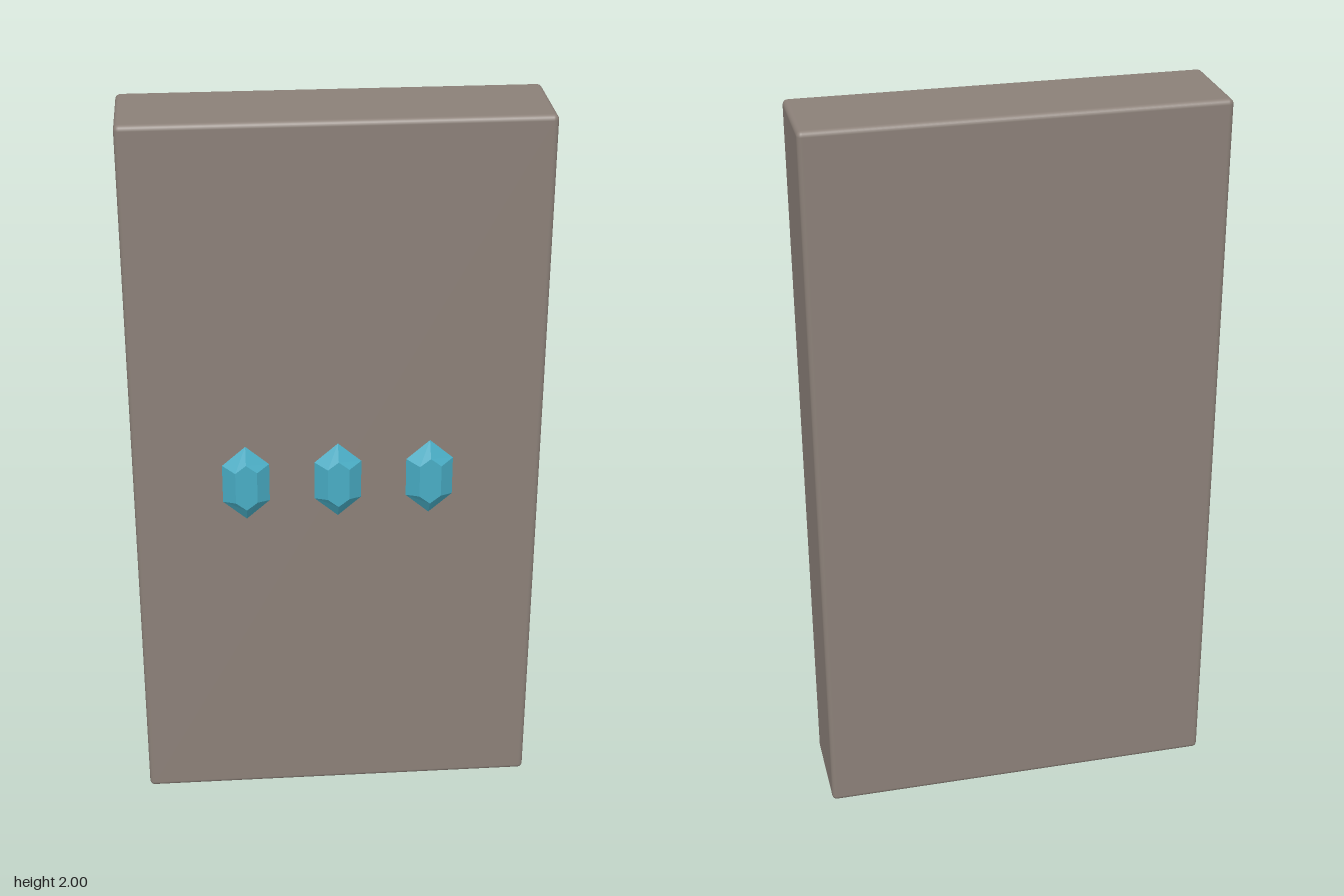
import * as THREE from 'three';
import { RoundedBoxGeometry } from 'three/addons/geometries/RoundedBoxGeometry.js';

// Elongated hexagon, counter-clockwise seen from the front
function hexRing(halfWidth, tip, shoulder, z) {
  return [
    [0, tip, z], [-halfWidth, shoulder, z], [-halfWidth, -shoulder, z],
    [0, -tip, z], [halfWidth, -shoulder, z], [halfWidth, shoulder, z],
  ];
}

// Cut gem: sloping facets from a wide base to a small flat table
function gemGeometry() {
  const base = hexRing(0.063, 0.11, 0.055, 0);
  const table = hexRing(0.029, 0.068, 0.045, 0.03);
  const points = [];
  for (let i = 0; i < 6; i++) {
    const j = (i + 1) % 6;
    points.push(base[i], base[j], table[j], base[i], table[j], table[i]);
    if (i > 0 && i < 5) points.push(table[0], table[i], table[j]);
  }
  const geometry = new THREE.BufferGeometry();
  geometry.setAttribute('position', new THREE.Float32BufferAttribute(points.flat(), 3));
  geometry.computeVertexNormals();
  return geometry;
}

export function createModel() {
  const group = new THREE.Group();
  const stone = new THREE.MeshStandardMaterial({ color: 0x8b8078 });
  stone.name = 'warm grey stone';
  const crystal = new THREE.MeshStandardMaterial({ color: 0x48acc4 });
  crystal.name = 'turquoise crystal';

  // Upright slab with softened edges
  const slab = new THREE.Mesh(new RoundedBoxGeometry(1.096, 2, 0.27, 3, 0.014), stone);
  slab.name = 'slab';
  slab.position.set(0, 1, -0.015);
  group.add(slab);

  // Row of three gems set on the front face
  const gem = gemGeometry();
  ['rightGem', 'middleGem', 'leftGem'].forEach((name, i) => {
    const mesh = new THREE.Mesh(gem, crystal);
    mesh.name = name;
    mesh.position.set((i - 1) * 0.247, 1, 0.12);
    group.add(mesh);
  });
  return group;
}
